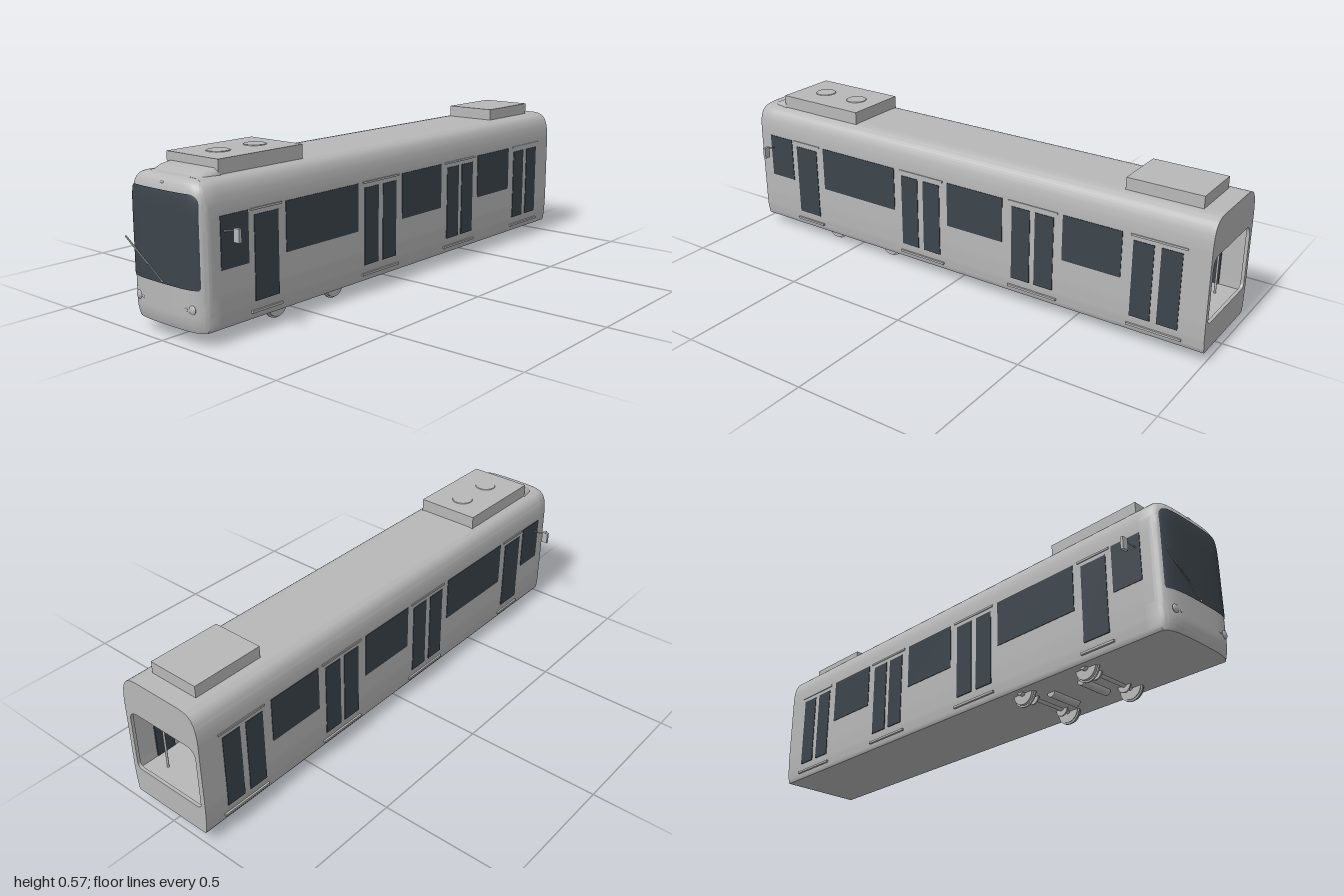
import * as THREE from 'three';
import { toCreasedNormals } from 'three/addons/utils/BufferGeometryUtils.js';

const V = (x, y, z) => new THREE.Vector3(x, y, z);
const paint = new THREE.MeshStandardMaterial({ color: 0xb8b8b8 });
paint.name = 'light grey paint';
const shellPaint = paint;
shellPaint.side = THREE.DoubleSide;
const glass = new THREE.MeshStandardMaterial({ color: 0x3c444b });
glass.name = 'dark glass';

// Joins closed rings of points (counter-clockwise seen from the front, back to front)
function loft(rings, crease = 0.6) {
  const n = rings[0].length, pos = [], idx = [];
  rings.forEach(r => r.forEach(p => pos.push(p.x, p.y, p.z)));
  for (let j = 0; j < rings.length - 1; j++) for (let i = 0; i < n; i++) {
    const a = j * n + i, b = j * n + (i + 1) % n;
    idx.push(a, b, a + n, b, b + n, a + n);
  }
  const g = new THREE.BufferGeometry();
  g.setAttribute('position', new THREE.Float32BufferAttribute(pos, 3));
  g.setIndex(idx);
  return toCreasedNormals(g, crease);
}

// Curved nose: depth of the front surface at any x, y
function noseZ(x, y) {
  const a = Math.abs(x) / 0.172, b = Math.max(0, (y - 0.28) / 0.24);
  const r = Math.min(1, a ** 6 + b ** 8);
  const low = Math.max(0, (0.1 - y) / 0.055);
  return 0.987 - 0.045 * (1 - Math.sqrt(1 - r)) - 0.006 * a * a - 0.01 * low * low;
}

// Concentric rings that cover the nose inside an outline
function noseRings(outline, cy, lift, steps) {
  const rings = [];
  for (let k = 0; k <= steps; k++) {
    const s = Math.cos(k / steps * Math.PI / 2);
    rings.push(outline.map(p => {
      const x = p.x * s, y = cy + (p.y - cy) * s;
      return V(x, y, noseZ(x, y) + lift);
    }));
  }
  return rings;
}

function roundedRect(path, x, y0, y1, rTop, rBottom) {
  path.moveTo(x, y0 + rBottom);
  path.lineTo(x, y1 - rTop);
  path.quadraticCurveTo(x, y1, x - rTop, y1);
  path.lineTo(-x + rTop, y1);
  path.quadraticCurveTo(-x, y1, -x, y1 - rTop);
  path.lineTo(-x, y0 + rBottom);
  path.quadraticCurveTo(-x, y0, -x + rBottom, y0);
  path.lineTo(x - rBottom, y0);
  path.quadraticCurveTo(x, y0, x, y0 + rBottom);
  return path;
}

// Body cross-section
function bodyOutline() {
  const half = [[0.161, 0.045], [0.165, 0.053], [0.1695, 0.09], [0.172, 0.15], [0.172, 0.42],
    [0.17, 0.448], [0.165, 0.474], [0.156, 0.495], [0.143, 0.509], [0.125, 0.517], [0.1, 0.52]];
  const pts = [...half, ...half.slice().reverse().map(([x, y]) => [-x, y])];
  const path = new THREE.Path(pts.map(p => new THREE.Vector2(...p)));
  path.closePath();
  return path.getSpacedPoints(160).slice(0, -1);
}

export function createModel() {
  const model = new THREE.Group();
  const add = (name, geo, mat, x = 0, y = 0, z = 0) => {
    const m = new THREE.Mesh(geo, mat);
    m.name = name;
    m.position.set(x, y, z);
    model.add(m);
    return m;
  };
  // Box given by its limits
  const box = (name, mat, x0, x1, y0, y1, z0, z1) => add(name,
    new THREE.BoxGeometry(Math.abs(x1 - x0), y1 - y0, z1 - z0), mat,
    (x0 + x1) / 2, (y0 + y1) / 2, (z0 + z1) / 2);
  // Round bar between two points
  const rod = (name, a, b, r, mat = paint, sides = 12) => {
    const m = add(name, new THREE.CylinderGeometry(r, r, a.distanceTo(b), sides), mat);
    m.position.copy(a).add(b).multiplyScalar(0.5);
    m.quaternion.setFromUnitVectors(V(0, 1, 0), b.clone().sub(a).normalize());
    return m;
  };

  // Hollow body shell with rounded nose
  const outline = bodyOutline();
  const section = z => outline.map(p => V(p.x, p.y, z));
  add('bodyShell', loft([section(-1), section(0.9), ...noseRings(outline, 0.28, 0, 26)]), shellPaint);

  // Rear wall with gangway opening
  const wall = new THREE.Shape(outline);
  wall.holes.push(roundedRect(new THREE.Path(), 0.153, 0.147, 0.385, 0.04, 0.02));
  add('rearWall', new THREE.ExtrudeGeometry(wall, { depth: 0.012, bevelEnabled: false }), paint, 0, 0, -1);
  box('floor', paint, -0.168, 0.168, 0.115, 0.125, -0.988, 0.9);

  // Windscreen
  const screen = roundedRect(new THREE.Path(), 0.157, 0.183, 0.478, 0.035, 0.008)
    .getSpacedPoints(120).slice(0, -1);
  add('windscreen', loft(noseRings(screen, 0.33, 0.003, 24)), glass);

  // Lamps on the nose
  const lamp = (name, x, y, r, sx = 1) => {
    const m = add(name, new THREE.SphereGeometry(r, 20, 12), paint, x, y, noseZ(x, y));
    m.scale.set(sx, 1, 0.4);
  };
  lamp('topLamp', 0, 0.499, 0.0045, 2);

  const windows = [[0.785, 0.9], [0.265, 0.62], [-0.22, 0.02], [-0.69, -0.465]];
  const leaves = [[0.655, 0.76], [0.155, 0.23], [0.055, 0.13], [-0.335, -0.26],
    [-0.43, -0.355], [-0.805, -0.73], [-0.905, -0.83]];
  const doorways = [[0.64, 0.775], [0.04, 0.24], [-0.445, -0.245], [-0.92, -0.72]];

  for (const s of [1, -1]) {
    // Side glazing and doors
    for (const [z0, z1] of windows) box('sideWindow', glass, s * 0.1665, s * 0.174, 0.235, 0.405, z0, z1);
    for (const [z0, z1] of leaves) box('doorGlass', glass, s * 0.1665, s * 0.174, 0.105, 0.385, z0, z1);
    for (const [z0, z1] of doorways) {
      box('doorTopRail', paint, s * 0.17, s * 0.1755, 0.4, 0.407, z0, z1);
      box('doorSill', paint, s * 0.166, s * 0.1745, 0.067, 0.075, z0, z1);
      // Grab poles inside
      for (const z of [z0, z1]) rod('grabPole', V(s * 0.1, 0.12, z), V(s * 0.1, 0.516, z), 0.004);
    }
    rod('ceilingHandrail', V(s * 0.1, 0.42, -0.92), V(s * 0.1, 0.42, 0.775), 0.003);

    lamp('headlight', s * 0.127, 0.12, 0.0145);
    lamp('indicator', s * 0.103, 0.118, 0.0055);

    // Mirrors
    rod('mirrorArm', V(s * 0.165, 0.355, 0.885), V(s * 0.218, 0.364, 0.878), 0.0025);
    box('mirror', paint, s * 0.213, s * 0.237, 0.328, 0.372, 0.873, 0.884);
  }

  // Wiper
  rod('wiperArm', V(0, 0.19, 0.99), V(-0.165, 0.307, 0.993), 0.0017);
  rod('wiperBlade', V(-0.06, 0.235, 0.996), V(-0.165, 0.307, 0.996), 0.002);
  add('wiperPivot', new THREE.SphereGeometry(0.004, 12, 8), paint, 0, 0.19, 0.99);

  // Roof equipment with fan covers and front fairing
  box('frontRoofUnit', paint, -0.121, 0.121, 0.513, 0.566, 0.485, 0.855);
  box('rearRoofUnit', paint, -0.1, 0.1, 0.513, 0.563, -0.93, -0.655);
  for (const z of [0.585, 0.745])
    add('roofFan', new THREE.CylinderGeometry(0.038, 0.04, 0.003, 32), paint, 0, 0.567, z);
  const fairing = (z, w, top) => [[w, 0.48], [w, top - 0.021], [w - 0.008, top - 0.008], [w - 0.022, top],
    [-w + 0.022, top], [-w + 0.008, top - 0.008], [-w, top - 0.021], [-w, 0.48]].map(([x, y]) => V(x, y, z));
  add('roofFairing', loft([fairing(0.85, 0.125, 0.538), fairing(0.895, 0.123, 0.532),
    fairing(0.935, 0.12, 0.515), fairing(0.968, 0.115, 0.496)]), paint);

  // Bogie: wheels, axles, discs and motors
  for (const z of [0.615, 0.335]) {
    rod('axle', V(-0.13, 0.048, z), V(0.13, 0.048, z), 0.01);
    for (const s of [1, -1]) {
      rod('wheelTread', V(s * 0.105, 0.048, z), V(s * 0.124, 0.048, z), 0.042, paint, 32);
      rod('wheelFlange', V(s * 0.108, 0.048, z), V(s * 0.114, 0.048, z), 0.048, paint, 32);
      rod('axleBox', V(s * 0.122, 0.048, z), V(s * 0.139, 0.048, z), 0.012);
      rod('brakeDisc', V(s * 0.07, 0.046, z), V(s * 0.076, 0.046, z), 0.026, paint, 24);
    }
  }
  for (const z of [0.545, 0.41])
    rod('motor', V(-0.065, 0.045, z), V(0.065, 0.045, z), 0.017, paint, 20);

  return model;
}
